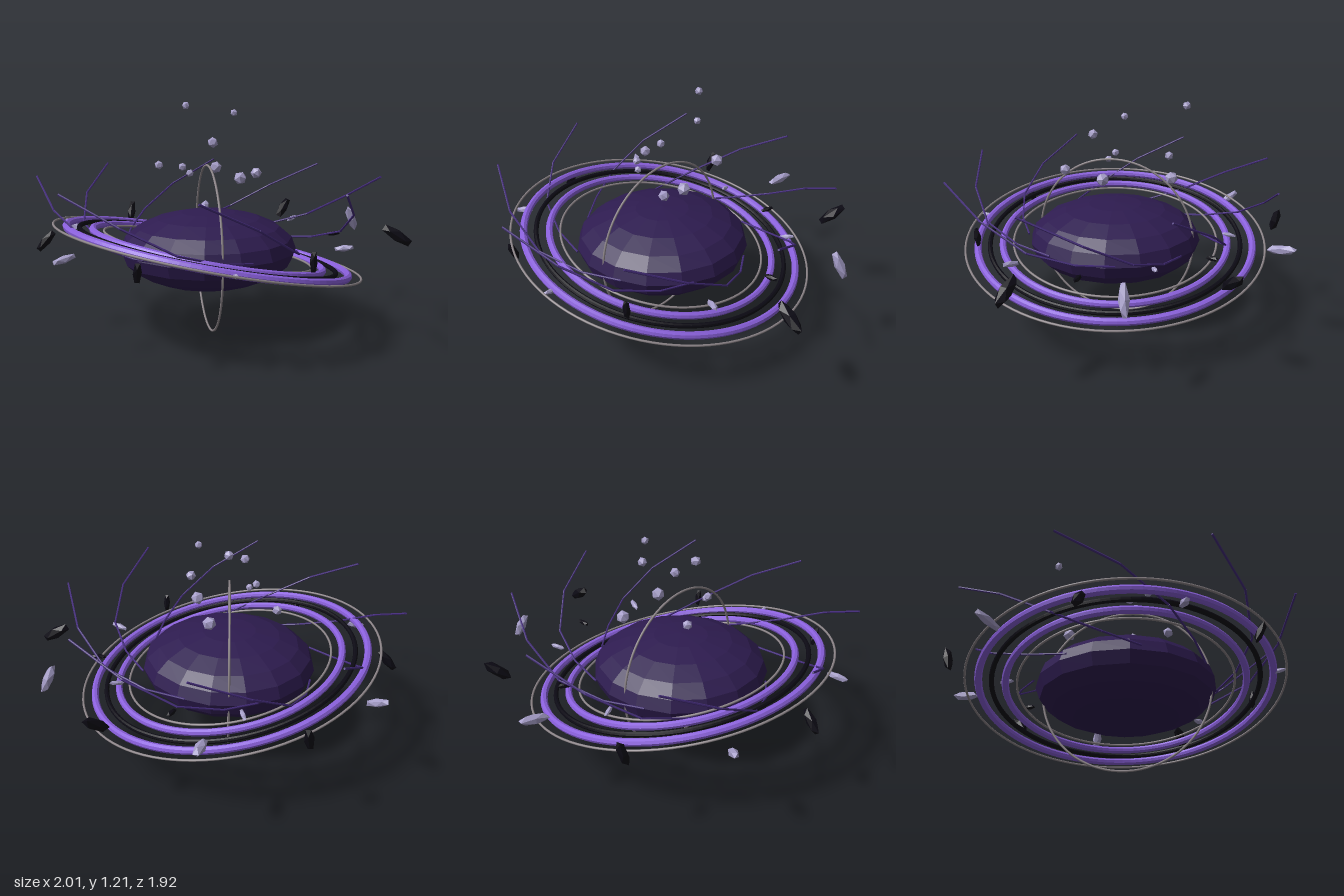
import * as THREE from 'three';

const CENTER = new THREE.Vector3(-0.09, 0.455, 0.05);

const mat = (color, flatShading = true) => {
  const m = new THREE.MeshStandardMaterial({ flatShading });
  m.color.set(color);
  return m;
};
const MATS = {
  body: mat(0x2e1c50),
  purple: mat(0x8a60dc),
  black: mat(0x0c0a14),
  grey: mat(0x8c8488, false),
  tendril: mat(0x452d7c),
  pale: mat(0xa59dc8),
};

function add(parent, name, geometry, material) {
  const mesh = new THREE.Mesh(geometry, material);
  mesh.name = name;
  parent.add(mesh);
  return mesh;
}

// Straight rod between two points
function rod(parent, name, a, b, r, material) {
  const dir = b.clone().sub(a);
  const mesh = add(parent, name, new THREE.CylinderGeometry(r, r, dir.length(), 6), material);
  mesh.position.copy(a).add(b).multiplyScalar(0.5);
  mesh.quaternion.setFromUnitVectors(THREE.Object3D.DEFAULT_UP, dir.normalize());
}

export function createModel() {
  const model = new THREE.Group();
  model.name = 'ringedCore';

  // Flattened faceted core
  const core = add(model, 'core', new THREE.SphereGeometry(0.47, 16, 10), MATS.body);
  core.scale.y = 0.437;
  core.position.copy(CENTER);

  // Tilted concentric rings: name, radius, tube radius, material
  const rings = new THREE.Group();
  rings.name = 'tiltedRings';
  rings.position.copy(CENTER);
  rings.quaternion.setFromUnitVectors(
    new THREE.Vector3(0, 0, 1), new THREE.Vector3(0.185, 1, -0.1).normalize());
  model.add(rings);
  [
    ['innerTrimRing', 0.563, 0.006, MATS.grey],
    ['innerBandRing', 0.622, 0.019, MATS.purple],
    ['darkRing', 0.692, 0.013, MATS.black],
    ['outerBandRing', 0.758, 0.02, MATS.purple],
    ['outerTrimRing', 0.826, 0.006, MATS.grey],
  ].forEach(([name, r, tube, m]) =>
    add(rings, name, new THREE.TorusGeometry(r, tube, 8, 96), m));

  // Upright halo around the core
  const halo = add(model, 'uprightHalo', new THREE.TorusGeometry(0.443, 0.006, 8, 80), MATS.grey);
  halo.position.copy(CENTER);
  halo.rotation.y = -1.37;

  // Eight swirling tendrils: [radius, angle behind the tip in degrees, height]
  const path = [[0.48, 74, 0.47], [0.57, 54, 0.5], [0.7, 36, 0.57], [0.805, 18.5, 0.7], [0.91, 0, 0.84]];
  for (let i = 0; i < 8; i++) {
    const tendril = new THREE.Group();
    tendril.name = 'tendril' + (i + 1);
    const pts = path.map(([r, lag, y]) => {
      const a = THREE.MathUtils.degToRad(i * 45 - lag);
      return new THREE.Vector3(CENTER.x + r * Math.cos(a), y, CENTER.z + r * Math.sin(a));
    });
    for (let k = 0; k < pts.length - 1; k++) {
      rod(tendril, 'tendrilSegment', pts[k], pts[k + 1], 0.0055, MATS.tendril);
    }
    model.add(tendril);
  }

  // Floating gems above the core: x, y, z, radius
  const gems = new THREE.Group();
  gems.name = 'floatingGems';
  model.add(gems);
  [
    [-0.23, 1.2, -0.3, 0.023], [0.045, 1.17, -0.08, 0.02], [-0.06, 1.03, 0.17, 0.028],
    [-0.37, 0.88, -0.14, 0.025], [-0.22, 0.9, 0.12, 0.022], [-0.18, 0.87, 0.14, 0.02],
    [-0.06, 0.85, -0.3, 0.035], [0.08, 0.83, 0.03, 0.036], [0.16, 0.88, 0.21, 0.029],
  ].forEach(([x, y, z, r], i) => {
    const gem = add(gems, 'gem', new THREE.IcosahedronGeometry(r, 0), MATS.pale);
    gem.position.set(x, y, z);
    gem.rotation.set(i * 0.7, i * 1.1, 0);
  });

  // Long crystal shards orbiting the rings: position, long axis, half length, thickness
  const shards = new THREE.Group();
  shards.name = 'shards';
  model.add(shards);
  const shard = (name, material, thickness) => ([pos, axis, half]) => {
    const s = add(shards, name, new THREE.IcosahedronGeometry(1, 0), material);
    s.scale.set(half * thickness, half * 1.17, half * thickness);
    s.position.set(...pos);
    s.quaternion.setFromUnitVectors(THREE.Object3D.DEFAULT_UP, new THREE.Vector3(...axis).normalize());
  };
  [
    [[-0.15, 0.53, -0.88], [0.05, 0.15, -1], 0.075],
    [[0.75, 0.525, -0.46], [0.35, -0.9, -0.25], 0.077],
    [[0.39, 0.53, -0.43], [1, 0.3, -0.8], 0.038],
    [[-0.9, 0.515, -0.31], [0.8, -0.45, 0.5], 0.065],
    [[-0.28, 0.51, -0.55], [0.4, 0.2, 0.8], 0.036],
    [[-0.75, 0.51, 0.56], [0.9, 0.25, -0.55], 0.055],
    [[0.06, 0.5, 0.82], [0.2, 0.2, 0.8], 0.036],
    [[0.61, 0.5, 0.25], [0.9, 0.15, 0.25], 0.048],
  ].forEach(shard('paleShard', MATS.pale, 0.36));
  [
    [[0.36, 0.53, -0.81], [0.5, 0.7, -0.8], 0.078],
    [[-0.61, 0.52, -0.7], [0.1, 1, -0.3], 0.065],
    [[0.06, 0.5, -0.59], [0.2, 0.1, -0.8], 0.036],
    [[0.6, 0.5, -0.13], [1, 0.05, -0.2], 0.037],
    [[0.92, 0.525, 0.045], [0.85, -0.53, 0], 0.085],
    [[-0.94, 0.51, 0.15], [0.65, 0.75, 0], 0.065],
    [[0.42, 0.515, 0.61], [0, 1, 0.1], 0.05],
    [[-0.37, 0.51, 0.81], [0.1, 0.9, 0.4], 0.055],
  ].forEach(shard('darkShard', MATS.black, 0.4));

  return model;
}
